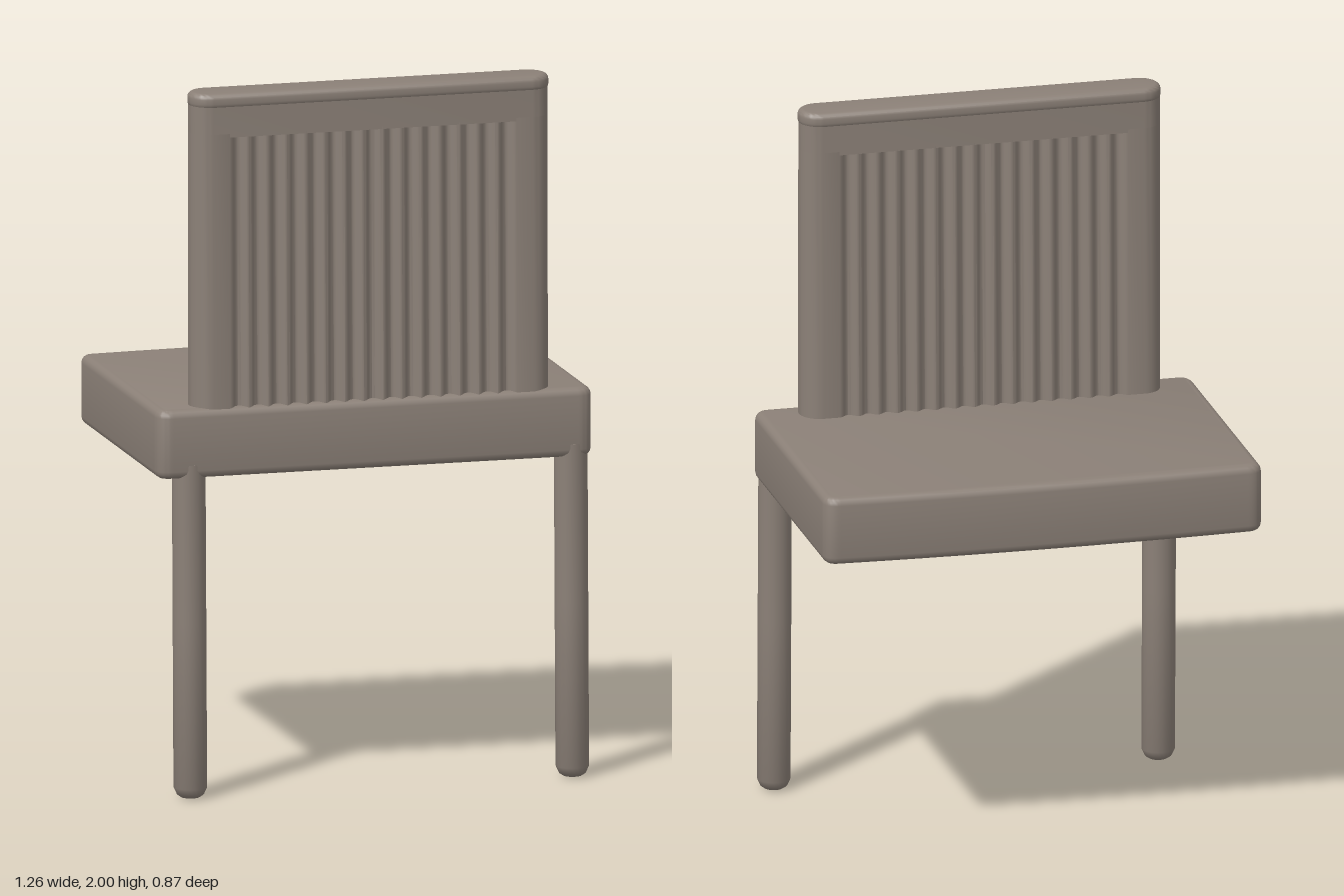
import * as THREE from 'three';
import { toCreasedNormals } from 'three/addons/utils/BufferGeometryUtils.js';

const taupe = new THREE.MeshStandardMaterial({ color: 0x8b8077 });
taupe.name = 'taupe';

function addPart(group, name, geometry) {
  const mesh = new THREE.Mesh(geometry, taupe);
  mesh.name = name;
  group.add(mesh);
  return mesh;
}

// Extrudes a plan outline upwards from y0 to y1, with softened edges
function extrudeUp(shape, y0, y1, bevel) {
  const geo = new THREE.ExtrudeGeometry(shape, {
    depth: y1 - y0 - 2 * bevel, curveSegments: 10,
    bevelEnabled: bevel > 0, bevelSize: bevel, bevelThickness: bevel,
    bevelOffset: -bevel, bevelSegments: 4,
  });
  geo.rotateX(-Math.PI / 2);
  geo.translate(0, y0 + bevel, 0);
  return toCreasedNormals(geo, 0.7);
}

// Plan of the backrest: round ends, with optional vertical flutes on both faces
function backPlan(halfWidth, halfDepth, ribs = 0) {
  const s = new THREE.Shape();
  const inner = halfWidth - halfDepth, panel = 0.415, steps = ribs * 8;
  const side = (sign) => {
    for (let i = 0; i <= steps && ribs; i++) {
      const t = i / steps;
      const dip = 0.008 * (1 - Math.cos(t * ribs * Math.PI * 2));
      s.lineTo(sign * panel * (1 - 2 * t), sign * (halfDepth - dip));
    }
    s.lineTo(-sign * inner, sign * halfDepth);
  };
  s.moveTo(inner, halfDepth);
  side(1);
  s.absarc(-inner, 0, halfDepth, Math.PI / 2, Math.PI * 1.5, false);
  side(-1);
  s.absarc(inner, 0, halfDepth, -Math.PI / 2, Math.PI / 2, false);
  return s;
}

// Plan of the seat: rounded corners and one gently bowed edge
function seatPlan() {
  const s = new THREE.Shape();
  const w = 0.63, near = -0.418, far = 0.422, r = 0.045;
  s.moveTo(-w + r, near);
  s.lineTo(w - r, near);
  s.quadraticCurveTo(w, near, w, near + r);
  s.lineTo(w, far - r);
  s.quadraticCurveTo(w, far, w - r, far);
  s.quadraticCurveTo(0, far + 0.03, -w + r, far);
  s.quadraticCurveTo(-w, far, -w, far - r);
  s.lineTo(-w, near + r);
  s.quadraticCurveTo(-w, near, -w + r, near);
  return s;
}

// Round leg with a softened foot, leaning slightly outwards
function legGeometry() {
  const r = 0.047;
  const profile = [
    [0, 0], [0.026, 0.002], [0.038, 0.01], [r, 0.03], [r, 0.5], [r, 0.95], [0, 0.95],
  ].map(([x, y]) => new THREE.Vector2(x, y));
  const geo = toCreasedNormals(new THREE.LatheGeometry(profile, 20), 0.9);
  const p = geo.attributes.position;
  for (let i = 0; i < p.count; i++) p.setZ(i, p.getZ(i) + 0.39 - 0.018 * p.getY(i));
  return geo;
}

export function createModel() {
  const chair = new THREE.Group();
  chair.name = 'chair';

  addPart(chair, 'seat', extrudeUp(seatPlan(), 0.912, 1.108, 0.022));

  // Backrest, a little thicker at its foot
  const back = new THREE.Group();
  back.name = 'backrest';
  back.position.set(-0.004, 0, 0.345);
  chair.add(back);

  const panel = extrudeUp(backPlan(0.518, 0.056, 15), 1.09, 1.885, 0);
  const p = panel.attributes.position;
  for (let i = 0; i < p.count; i++) {
    const low = (1.885 - p.getY(i)) / 0.795;
    p.setZ(i, p.getZ(i) * (1 + 0.12 * low));
  }
  panel.computeVertexNormals();
  addPart(back, 'flutedPanel', toCreasedNormals(panel, 0.7));
  addPart(back, 'upperRail', extrudeUp(backPlan(0.518, 0.056), 1.875, 1.98, 0));
  addPart(back, 'topCap', extrudeUp(backPlan(0.52, 0.059), 1.955, 2.0, 0.016));

  // Two legs under the backrest edge
  for (const [name, x] of [['rightLeg', -0.53], ['leftLeg', 0.575]]) {
    addPart(chair, name, legGeometry()).position.x = x;
  }
  return chair;
}
